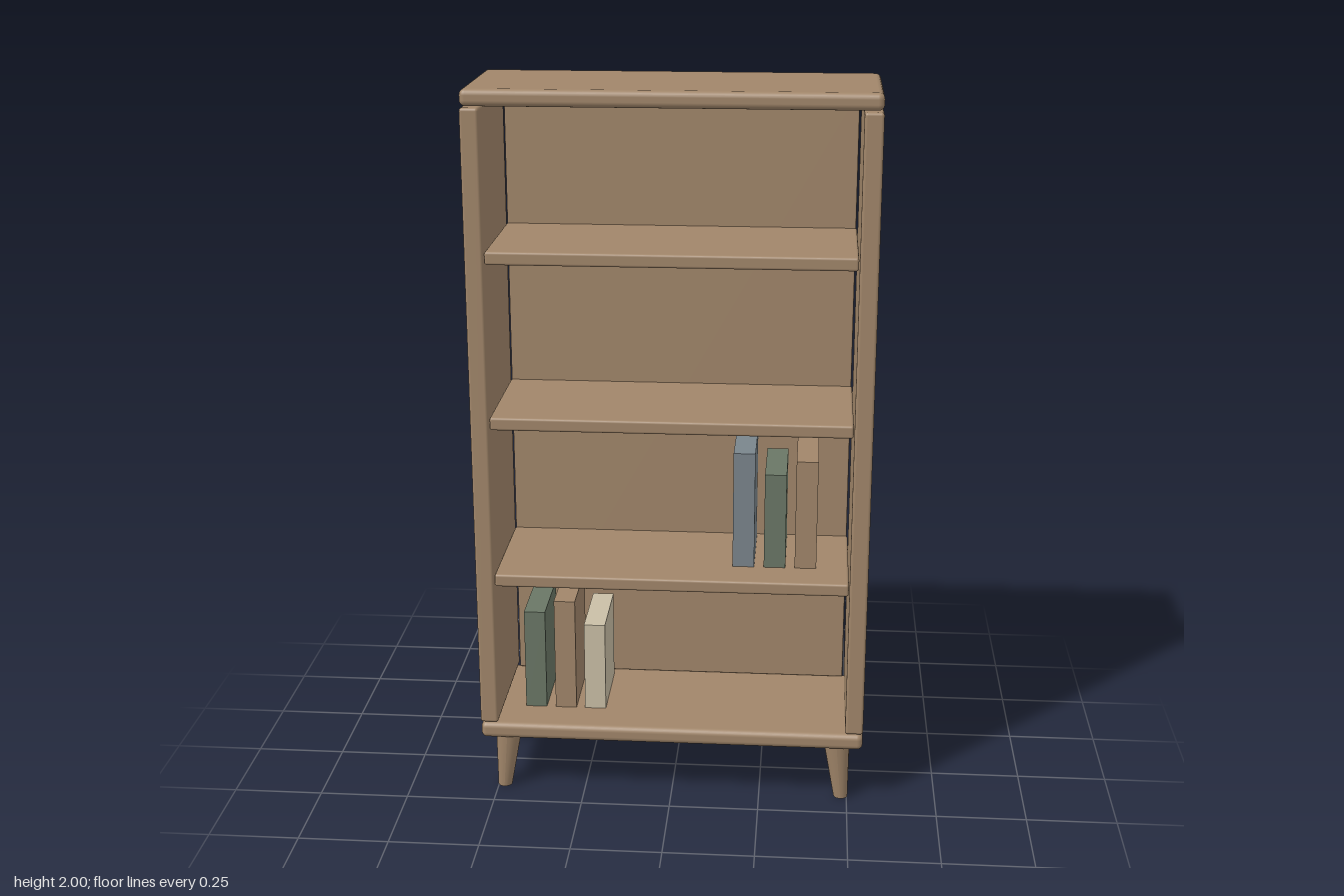
import * as THREE from 'three';
import { RoundedBoxGeometry } from 'three/addons/geometries/RoundedBoxGeometry.js';

const material = (name, color) => {
  const m = new THREE.MeshStandardMaterial({ color });
  m.name = name;
  return m;
};

export function createModel() {
  const wood = material('wood', 0xa1866a);
  const green = material('green cover', 0x6a7766);
  const blue = material('blue cover', 0x7a858c);
  const cream = material('cream cover', 0xcabfa6);

  const model = new THREE.Group();
  model.name = 'bookcase';

  const add = (name, geometry, mat, x, y, z) => {
    const mesh = new THREE.Mesh(geometry, mat);
    mesh.name = name;
    mesh.position.set(x, y, z);
    model.add(mesh);
    return mesh;
  };

  // Board given by its limits on each axis, with softened edges
  const board = (name, [x0, x1], [y0, y1], [z0, z1], radius) =>
    add(name, new RoundedBoxGeometry(x1 - x0, y1 - y0, z1 - z0, 3, radius), wood,
      (x0 + x1) / 2, (y0 + y1) / 2, (z0 + z1) / 2);

  // Carcass
  board('topPanel', [-0.54, 0.54], [1.955, 2], [-0.2, 0.2], 0.016);
  board('basePanel', [-0.54, 0.54], [0.168, 0.215], [-0.2, 0.2], 0.016);
  board('rightSide', [-0.54, -0.49], [0.218, 1.952], [-0.2, 0.2], 0.008);
  board('leftSide', [0.49, 0.54], [0.218, 1.952], [-0.2, 0.2], 0.008);
  board('backPanel', [-0.485, 0.485], [0.217, 1.953], [-0.195, -0.175], 0.004);

  // Shelves
  for (const y of [0.632, 1.087, 1.542]) {
    board('shelf', [-0.488, 0.488], [y, y + 0.036], [-0.18, 0.192], 0.007);
  }

  // Tapered legs, leaning outward
  const legHeight = 0.168;
  const lean = 0.015;
  for (const sx of [-1, 1]) {
    for (const z of [-0.15, 0.15]) {
      const leg = new THREE.CylinderGeometry(0.036, 0.02, legHeight, 24);
      const p = leg.attributes.position;
      for (let i = 0; i < p.count; i++) {
        p.setX(i, p.getX(i) - sx * lean * (p.getY(i) / legHeight + 0.5));
      }
      leg.computeVertexNormals();
      add('leg', leg, wood, sx * 0.483, legHeight / 2, z);
    }
  }

  // Books: left edge, shelf height, book height, cover
  const books = [
    [-0.427, 0.215, 0.295, green],
    [-0.341, 0.215, 0.33, wood],
    [-0.256, 0.215, 0.26, cream],
    [0.165, 0.668, 0.333, blue],
    [0.252, 0.668, 0.273, green],
    [0.338, 0.668, 0.313, wood],
  ];
  for (const [x, y, h, mat] of books) {
    add('book', new THREE.BoxGeometry(0.06, h, 0.23), mat, x + 0.03, y + h / 2, -0.034);
  }

  return model;
}
